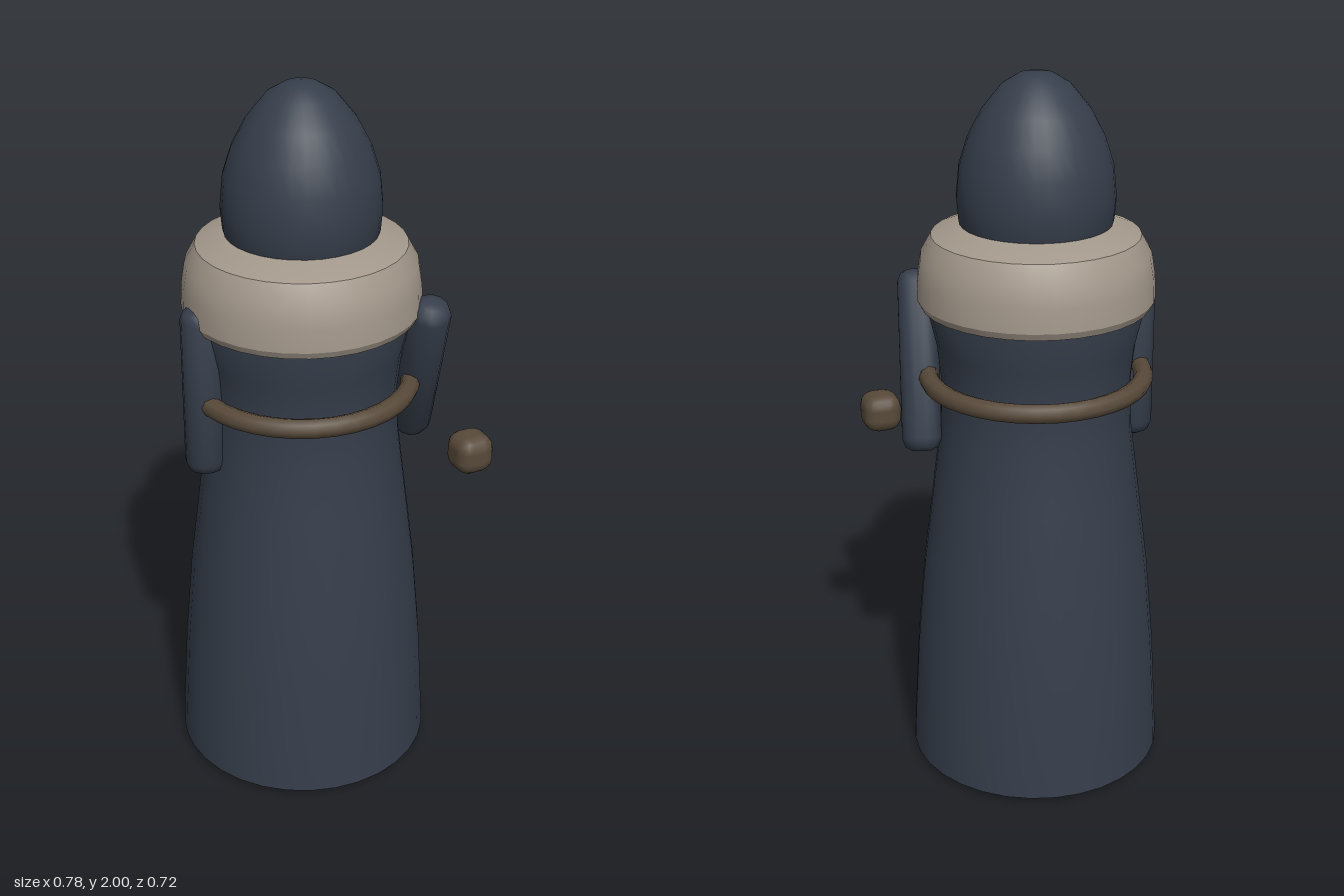
import * as THREE from 'three';
import { toCreasedNormals } from 'three/addons/utils/BufferGeometryUtils.js';
import { RoundedBoxGeometry } from 'three/addons/geometries/RoundedBoxGeometry.js';

const CENTER_X = -0.03;

function material(name, color) {
  const m = new THREE.MeshStandardMaterial({ color });
  m.name = name;
  return m;
}

// Turned solid from [radius, y] pairs listed bottom to top
function turned(profile, segments, crease = 0.6) {
  const points = profile.map(([r, y]) => new THREE.Vector2(r, y));
  return toCreasedNormals(new THREE.LatheGeometry(points, segments), crease);
}

export function createModel() {
  const group = new THREE.Group();
  const cloth = material('dark blue cloth', 0x363e4b);
  const fur = material('pale collar', 0xa3988b);
  const brown = material('brown', 0x584a3a);
  const boot = material('dark boot leather', 0x3a3127);

  function add(name, geometry, mat, x = CENTER_X, y = 0, z = 0) {
    const mesh = new THREE.Mesh(geometry, mat);
    mesh.name = name;
    mesh.position.set(x, y, z);
    group.add(mesh);
    return mesh;
  }

  // Long robe, flaring at the hem and again at the shoulders
  add('robe', turned([
    [0, 0.018], [0.362, 0.018], [0.358, 0.1], [0.343, 0.35], [0.32, 0.6],
    [0.288, 0.85], [0.265, 1.03], [0.26, 1.16], [0.272, 1.27], [0.3, 1.39], [0.29, 1.46], [0, 1.5],
  ], 32), cloth);

  // Thick collar
  add('collar', turned([
    [0.27, 1.375], [0.312, 1.378], [0.322, 1.398], [0.319, 1.46], [0.309, 1.52],
    [0.281, 1.57], [0.2, 1.602], [0, 1.602],
  ], 32, 0.5), fur);

  // Hood
  add('hood', turned([
    [0, 1.56], [0.195, 1.57], [0.207, 1.61], [0.212, 1.67], [0.204, 1.755], [0.18, 1.83],
    [0.143, 1.9], [0.09, 1.965], [0.045, 1.992], [0, 2],
  ], 32, 0.9), cloth);

  // Cord around the waist
  const cord = add('cord', new THREE.TorusGeometry(0.296, 0.027, 8, 36), brown, CENTER_X, 1.17, 0);
  cord.rotation.x = Math.PI / 2;

  // Sleeves: cylinders with rounded ends, from hand to shoulder
  function addArm(name, hand, shoulder) {
    const length = hand.distanceTo(shoulder);
    const r = 0.056;
    const arm = add(name, turned([
      [0, 0], [0.026, 0], [0.047, 0.011], [r, 0.034],
      [r, length - 0.034], [0.047, length - 0.011], [0.026, length], [0, length],
    ], 12, 1), cloth, hand.x, hand.y, hand.z);
    arm.quaternion.setFromUnitVectors(
      new THREE.Vector3(0, 1, 0), shoulder.clone().sub(hand).normalize());
  }
  addArm('leftArm', new THREE.Vector3(0.288, 0.965, 0.045), new THREE.Vector3(0.235, 1.427, 0.232));
  addArm('rightArm', new THREE.Vector3(-0.322, 0.955, 0), new THREE.Vector3(-0.322, 1.437, 0));

  // Small rounded knob beside the left hand
  add('knob', new RoundedBoxGeometry(0.11, 0.11, 0.11, 2, 0.04), brown, 0.335, 0.995, 0.295);

  // Boot soles just showing under the hem
  for (const side of [-1, 1]) {
    add(side > 0 ? 'leftBoot' : 'rightBoot', new RoundedBoxGeometry(0.13, 0.09, 0.3, 2, 0.02),
      boot, CENTER_X + side * 0.11, 0.045, 0);
  }
  return group;
}
